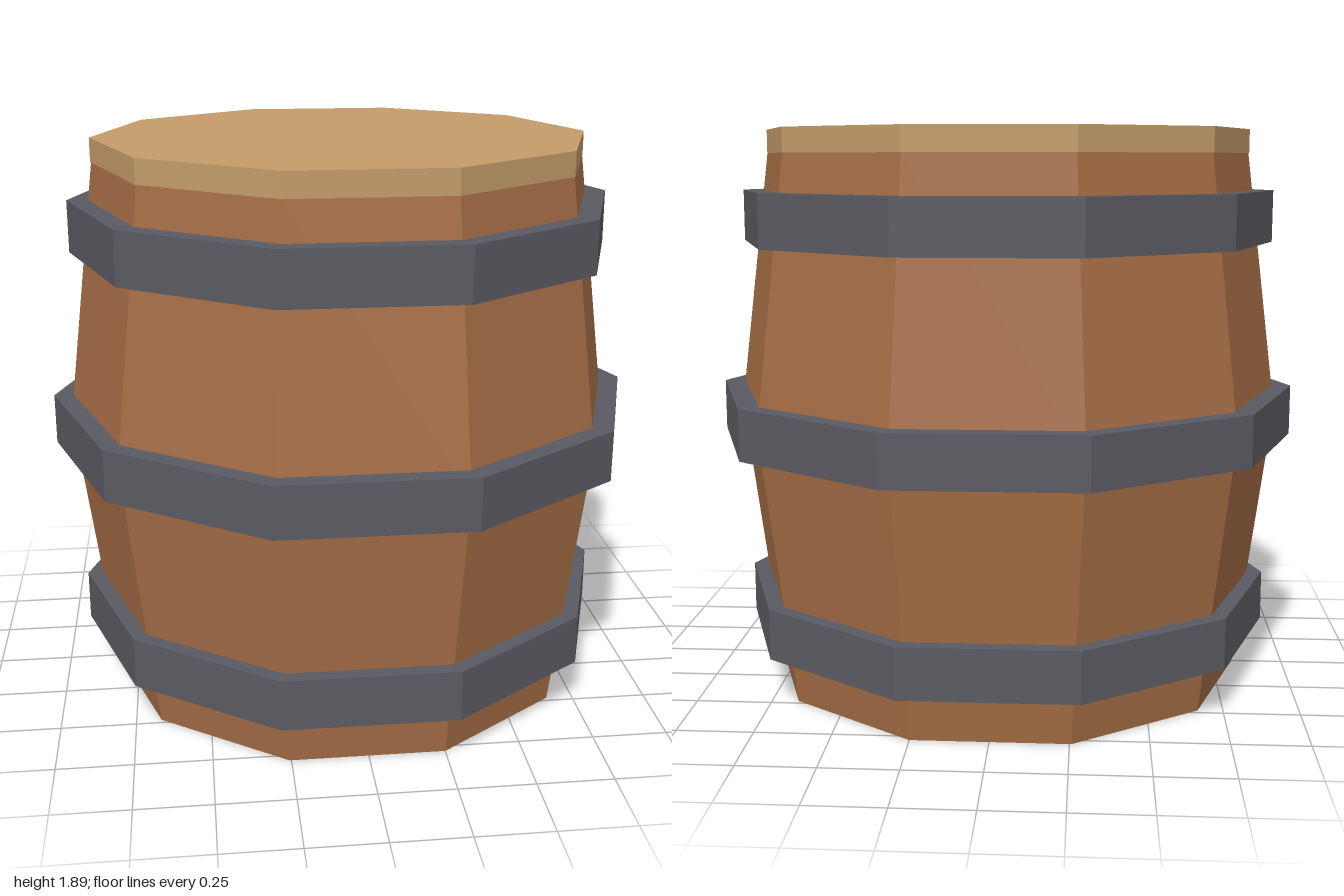
import * as THREE from 'three';

const SIDES = 10;

function material(name, color) {
  const m = new THREE.MeshStandardMaterial({ color, flatShading: true });
  m.name = name;
  return m;
}

// Ten-sided turned part from [radius, height] pairs, with corners on the x axis
function turned(name, profile, mat) {
  const points = profile.map(([r, y]) => new THREE.Vector2(r, y));
  const geometry = new THREE.LatheGeometry(points, SIDES, Math.PI / 2).toNonIndexed();
  geometry.computeVertexNormals();
  const mesh = new THREE.Mesh(geometry, mat);
  mesh.name = name;
  return mesh;
}

export function createModel() {
  const barrel = new THREE.Group();
  barrel.name = 'barrel';
  const wood = material('brown wood', 0xa56d46);
  const paleWood = material('pale wood', 0xc49c6a);
  const iron = material('dark iron', 0x5a5a62);

  // Bulging body with a closed bottom
  const body = turned('body', [[0, 0], [0.82, 0], [0.942, 0.925], [0.829, 1.81], [0, 1.81]], wood);

  // Flat lid
  const lid = turned('lid', [[0, 1.81], [0.831, 1.81], [0.831, 1.89], [0, 1.89]], paleWood);
  body.position.x = -0.003;
  lid.position.set(-0.004, 0, 0.002);
  barrel.add(body, lid);

  // Iron hoops: name, outer radius, bottom, top, x shift
  const hoops = [
    ['lowerHoop', 0.917, 0.165, 0.335, -0.003],
    ['middleHoop', 1, 0.84, 1.01, 0],
    ['upperHoop', 0.917, 1.51, 1.685, -0.003],
  ];
  for (const [name, r, y0, y1, x] of hoops) {
    const inner = r - 0.1;
    const hoop = turned(name, [[inner, y0], [r, y0], [r, y1], [inner, y1]], iron);
    hoop.position.x = x;
    barrel.add(hoop);
  }
  return barrel;
}
